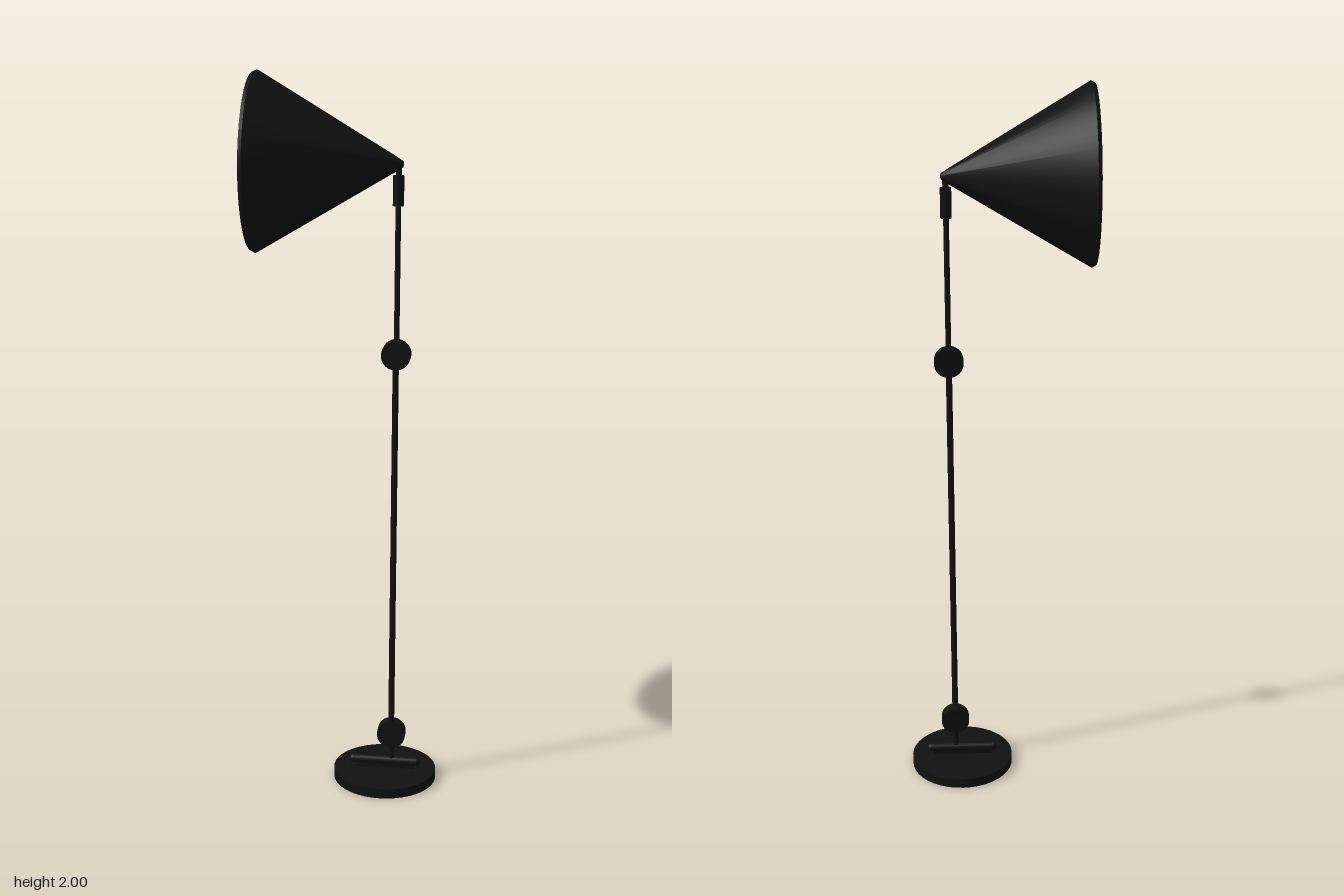
import * as THREE from 'three';
import { toCreasedNormals } from 'three/addons/utils/BufferGeometryUtils.js';

const black = new THREE.MeshStandardMaterial({ color: 0x111111 });
const white = new THREE.MeshStandardMaterial({ color: 0xe8e8e8, side: THREE.DoubleSide });

function add(parent, name, geometry, x, y, z, material = black) {
  const mesh = new THREE.Mesh(geometry, material);
  mesh.name = name;
  mesh.position.set(x, y, z);
  parent.add(mesh);
  return mesh;
}

// Vertical rod between two heights
function rod(parent, name, r, y0, y1, x, z = 0) {
  return add(parent, name, new THREE.CylinderGeometry(r, r, y1 - y0, 20), x, (y0 + y1) / 2, z);
}

// Profile of [radius, distance] pairs turned around the z axis
function turned(profile, segments = 64) {
  const points = profile.map(([r, d]) => new THREE.Vector2(r, d));
  return toCreasedNormals(new THREE.LatheGeometry(points, segments).rotateX(Math.PI / 2), 0.5);
}

export function createModel() {
  const model = new THREE.Group();
  model.name = 'floorLamp';

  // The lamp is laid out facing +z, then turned towards the front right corner
  const lamp = new THREE.Group();
  lamp.name = 'lampBody';
  lamp.position.set(0.1625, 0, -0.15);
  lamp.rotation.y = -Math.PI / 4;
  model.add(lamp);

  const back = -0.009; // side offset of stem and upper pole
  const front = 0.009; // side offset of lower pole

  // Foot: round plate with a rounded bar carrying the stem
  add(lamp, 'basePlate', new THREE.CylinderGeometry(0.146, 0.146, 0.028, 40), back, 0.014, 0.019);
  add(lamp, 'footBar', new THREE.CapsuleGeometry(0.012, 0.182, 6, 16).rotateX(Math.PI / 2), back, 0.049, 0.019);
  add(lamp, 'footBarPad', new THREE.BoxGeometry(0.014, 0.016, 0.17), back, 0.035, 0.019);

  // Poles
  rod(lamp, 'stem', 0.008, 0.04, 0.14, back);
  rod(lamp, 'lowerPole', 0.0085, 0.14, 1.25, front);
  rod(lamp, 'upperPole', 0.0075, 1.25, 1.72, back);
  rod(lamp, 'collar', 0.015, 1.65, 1.73, back);
  rod(lamp, 'neck', 0.008, 1.72, 1.765, back);

  // Hinge joints: paired discs on a pin
  for (const y of [0.14, 1.25]) {
    const joint = new THREE.Group();
    joint.name = 'hingeJoint';
    joint.position.y = y;
    for (const x of [back, front]) {
      add(joint, 'hingeDisc', new THREE.CylinderGeometry(0.04, 0.04, 0.0175, 32).rotateZ(Math.PI / 2), x, 0, 0);
    }
    add(joint, 'hingePin', new THREE.CylinderGeometry(0.012, 0.012, 0.04, 16).rotateZ(Math.PI / 2), 0, 0, 0);
    lamp.add(joint);
  }

  // Head: conical shade, pale lining, bulb and socket
  const head = new THREE.Group();
  head.name = 'lampHead';
  head.position.set(back, 1.76, 0);
  lamp.add(head);
  add(head, 'shade', turned([[0, -0.014], [0.008, -0.012], [0.023, 0.012], [0.24, 0.378], [0.235, 0.388], [0.213, 0.388], [0.212, 0.38]]), 0, 0, 0);
  add(head, 'shadeLining', turned([[0.212, 0.381], [0.018, 0.045], [0, 0.045]]), 0, 0, 0, white);
  add(head, 'bulbSocket', turned([[0, 0.04], [0.022, 0.045], [0.03, 0.12], [0.03, 0.2], [0, 0.2]], 32), 0, 0, 0);
  add(head, 'bulb', new THREE.SphereGeometry(0.077, 32, 20), 0, 0, 0.266);

  return model;
}
